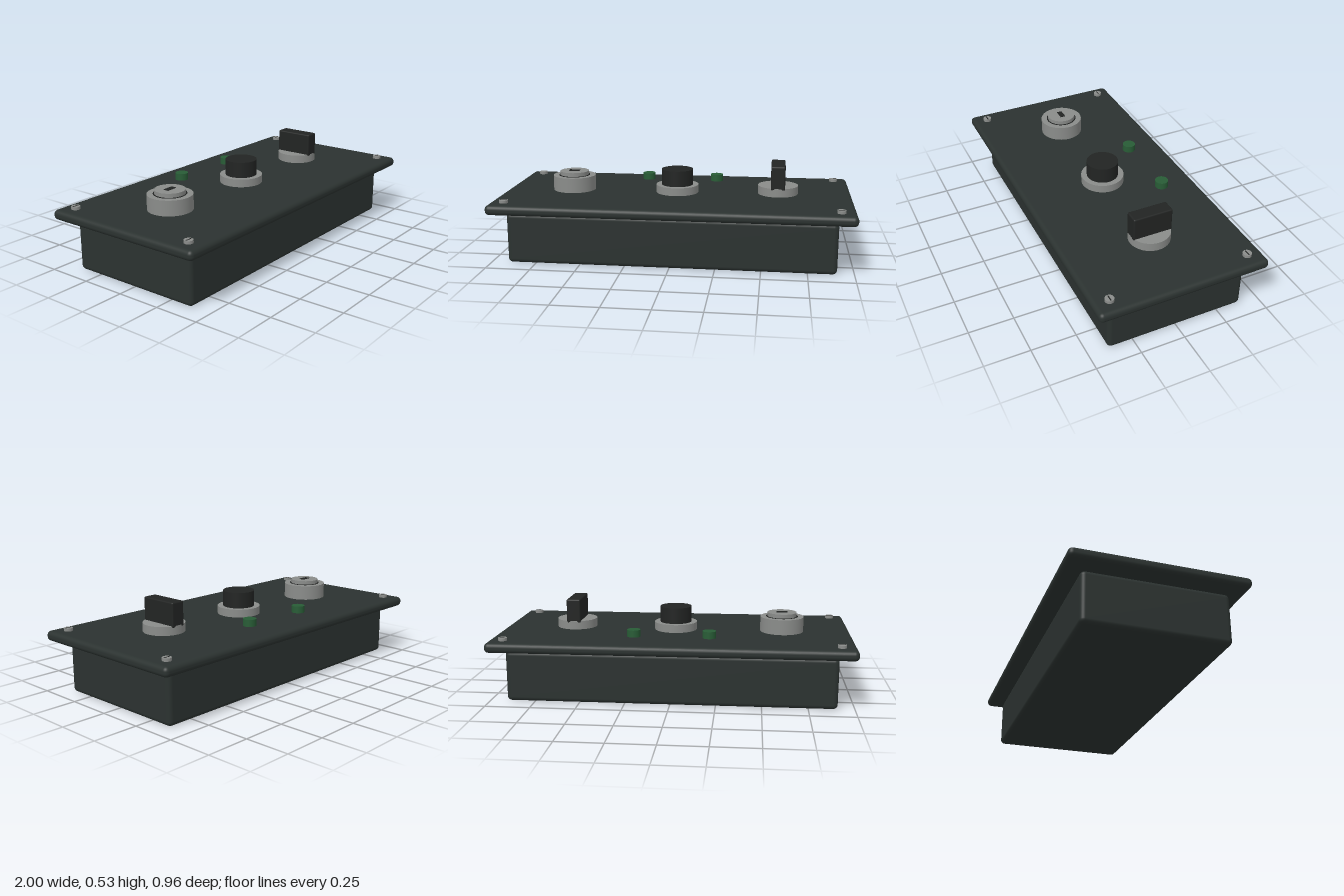
import * as THREE from 'three';
import { RoundedBoxGeometry } from 'three/addons/geometries/RoundedBoxGeometry.js';

const paint = (color) => new THREE.MeshStandardMaterial({ color });

export function createModel() {
  const model = new THREE.Group();
  const casing = paint(0x2b3230);
  const metal = paint(0x8a8c8a);
  const black = paint(0x222423);
  const green = paint(0x285c36);

  const add = (name, geometry, material, x, y, z, parent = model) => {
    const mesh = new THREE.Mesh(geometry, material);
    mesh.name = name;
    mesh.position.set(x, y, z);
    parent.add(mesh);
    return mesh;
  };
  // Block and upright disc given by their bottom and top heights
  const block = (name, w, d, y0, y1, r, material, x = 0, z = 0, parent = model) =>
    add(name, new RoundedBoxGeometry(w, y1 - y0, d, 4, r), material, x, (y0 + y1) / 2, z, parent);
  const disc = (name, r, y0, y1, material, x, z, parent = model) =>
    add(name, new THREE.CylinderGeometry(r, r, y1 - y0, 48), material, x, (y0 + y1) / 2, z, parent);
  const group = (name) => {
    const g = new THREE.Group();
    g.name = name;
    model.add(g);
    return g;
  };

  // Enclosure, hidden neck and face plate
  block('enclosure', 1.815, 0.784, 0, 0.284, 0.025, casing);
  block('facePlate', 2, 0.956, 0.29, 0.345, 0.024, casing);

  // Key switch
  const key = group('keySwitch');
  disc('keyHousing', 0.123, 0.345, 0.43, metal, -0.61, 0, key);
  disc('keyGroove', 0.09, 0.42, 0.432, black, -0.61, 0, key);
  disc('keyBarrel', 0.083, 0.42, 0.454, metal, -0.61, 0, key);
  add('keySlot', new THREE.BoxGeometry(0.062, 0.01, 0.03), black, -0.61, 0.452, 0, key);

  // Push button
  const push = group('pushButton');
  disc('buttonBezel', 0.122, 0.345, 0.39, metal, 0, 0, push);
  disc('buttonCap', 0.09, 0.38, 0.48, black, 0, 0, push);

  // Rotary selector
  const selector = group('selectorSwitch');
  disc('selectorBase', 0.114, 0.352, 0.4, metal, 0.58, 0, selector);
  block('selectorHandle', 0.08, 0.224, 0.39, 0.526, 0.008, black, 0.58, 0, selector);

  // Indicator lamps and corner screws
  for (const side of [-1, 1]) {
    disc('indicatorLamp', 0.037, 0.357, 0.396, green, side * 0.208, -0.275);
    for (const end of [-1, 1]) {
      const screw = group('cornerScrew');
      disc('screwHead', 0.024, 0.345, 0.361, metal, side * 0.915, end * 0.391, screw);
      add('screwSlot', new THREE.BoxGeometry(0.036, 0.004, 0.006), black,
        side * 0.915, 0.36, end * 0.391, screw);
    }
  }
  return model;
}
